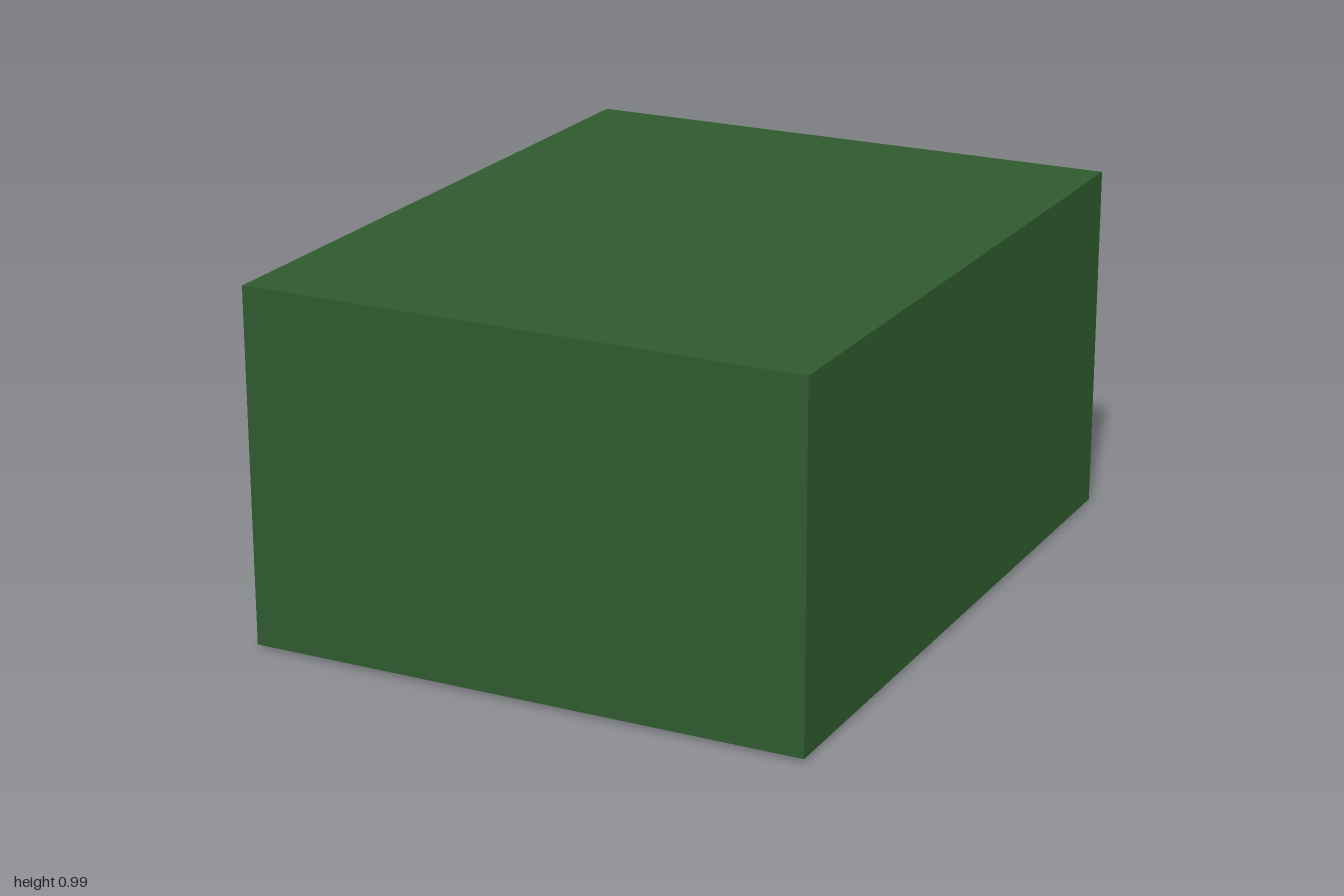
import * as THREE from 'three';

const mat = (name, color, side = THREE.FrontSide) => {
  const m = new THREE.MeshStandardMaterial({ color, side });
  m.name = name;
  return m;
};

export function createModel() {
  const root = new THREE.Group();
  root.name = 'bunker';
  const green = mat('wallGreen', 0x2e5a2e);
  const pink = mat('doorEdgePink', 0xbb7c91);
  const brown = mat('doorBrown', 0xa46948);
  const purple = mat('sofaPurple', 0x6262a8);

  // Box given by its lower and upper limits on each axis
  const box = (name, [x0, x1], [y0, y1], [z0, z1], material, parent = root) => {
    const mesh = new THREE.Mesh(new THREE.BoxGeometry(x1 - x0, y1 - y0, z1 - z0), material);
    mesh.position.set((x0 + x1) / 2, (y0 + y1) / 2, (z0 + z1) / 2);
    mesh.name = name;
    parent.add(mesh);
  };

  // Rectangle path, used for outlines and openings
  const rect = (Type, x0, y0, x1, y1) => {
    const s = new Type();
    s.moveTo(x0, y0).lineTo(x1, y0).lineTo(x1, y1).lineTo(x0, y1).closePath();
    return s;
  };
  const extrude = (name, shape, depth, z, material, parent = root) => {
    const mesh = new THREE.Mesh(
      new THREE.ExtrudeGeometry(shape, { depth, bevelEnabled: false }), material);
    mesh.position.z = z;
    mesh.name = name;
    parent.add(mesh);
  };

  // Room shell
  const X = [-0.753, 0.806], Y = [0.01, 0.985], Z = [-0.957, 1], T = 0.015;
  const innerY = [Y[0] + T, Y[1] - T], innerZ = [Z[0] + T, Z[1] - T];
  box('floor', X, [Y[0], innerY[0]], Z, green);
  box('roof', X, [innerY[1], Y[1]], Z, green);
  box('frontWall', X, innerY, [innerZ[1], Z[1]], green);
  box('rightWall', [X[0], X[0] + T], innerY, innerZ, green);
  box('leftWall', [X[1] - T, X[1]], innerY, innerZ, green);

  // Back wall with the window slot, and the frame that stands proud of it
  const win = [-0.34, 0.64, 0.39, 0.78], f = 0.018;
  const opening = () => rect(THREE.Path, win[0] + f, win[1] + f, win[2] - f, win[3] - f);
  const wall = rect(THREE.Shape, X[0], innerY[0], X[1], innerY[1]);
  wall.holes.push(opening());
  extrude('backWall', wall, T, Z[0], green);
  const frame = rect(THREE.Shape, ...win);
  frame.holes.push(opening());
  extrude('windowFrame', frame, Z[0] + 1, -1, green);

  // Door: brown outer face, pink edges
  box('door', [-0.81, X[0]], [0.06, 0.827], [-0.75, -0.33],
    [pink, brown, pink, pink, pink, pink]);

  // Sofa along the left wall, with a leaning backrest
  const sofa = new THREE.Group();
  sofa.name = 'sofa';
  root.add(sofa);
  box('seat', [0.42, 0.789], [0, 0.26], [-0.42, 0.235], purple, sofa);
  const back = new THREE.Shape();
  back.moveTo(0.6, 0.26).lineTo(0.789, 0.26).lineTo(0.789, 0.46).lineTo(0.66, 0.46).closePath();
  extrude('backrest', back, 0.655, -0.42, purple, sofa);

  return root;
}
